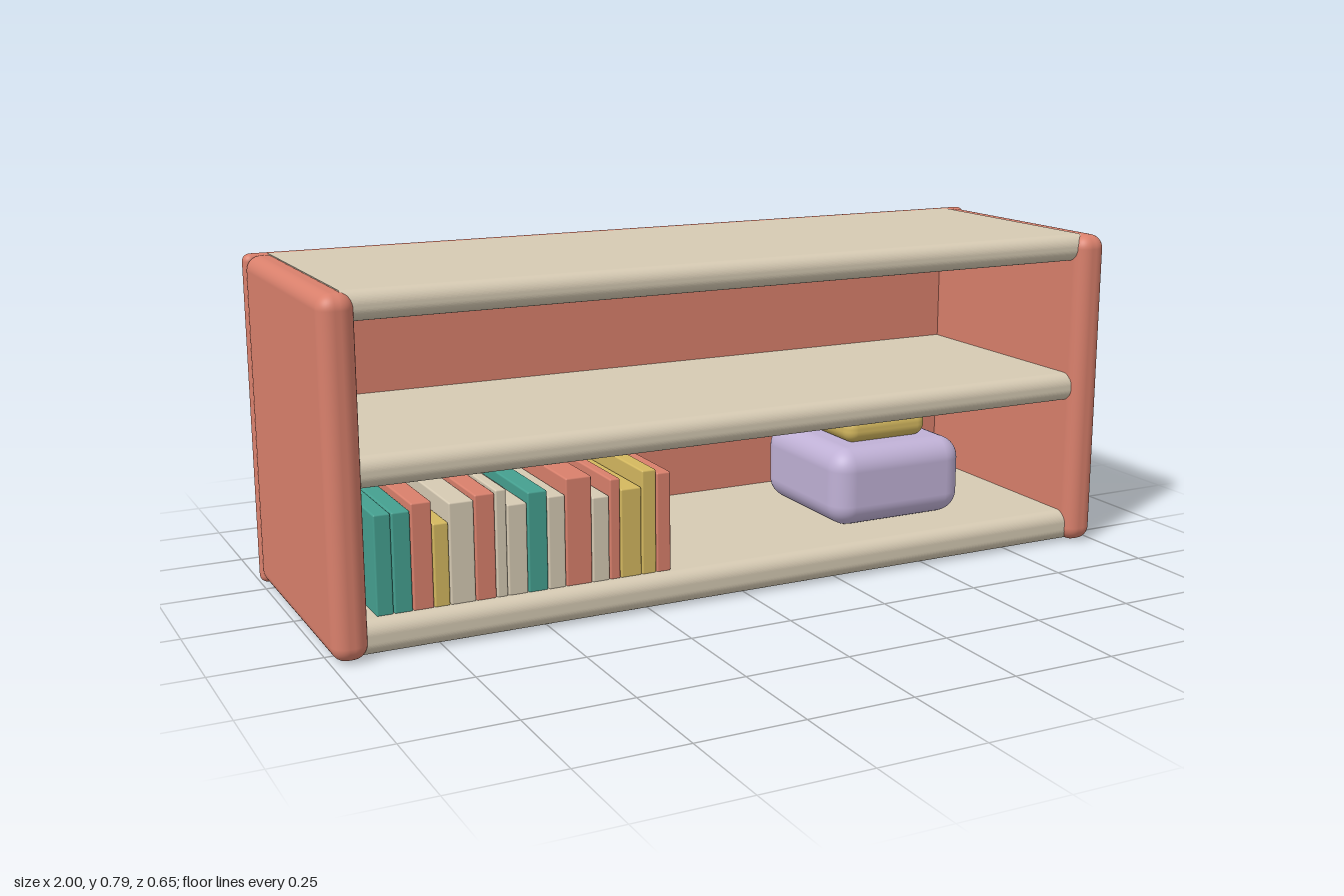
import * as THREE from 'three';
import { RoundedBoxGeometry } from 'three/addons/geometries/RoundedBoxGeometry.js';

const paint = (name, color) => {
  const m = new THREE.MeshStandardMaterial({ color });
  m.name = name;
  return m;
};

export function createModel() {
  const coral = paint('coral', 0xd9806c);
  const cream = paint('cream', 0xd6cab3);
  const teal = paint('teal', 0x45a090);
  const mustard = paint('mustard', 0xd4b85f);
  const lavender = paint('lavender', 0xc0b1d6);

  const model = new THREE.Group();
  model.name = 'bookshelf';

  // Rounded block given by its extents along each axis
  const block = (parent, name, mat, [x0, x1], [y0, y1], [z0, z1], r, seg = 5) => {
    const geo = new RoundedBoxGeometry(x1 - x0, y1 - y0, z1 - z0, seg, r);
    const mesh = new THREE.Mesh(geo, mat);
    mesh.name = name;
    mesh.position.set((x0 + x1) / 2, (y0 + y1) / 2, (z0 + z1) / 2);
    parent.add(mesh);
    return mesh;
  };

  // Carcass: two side panels and a full-width back
  block(model, 'leftSide', coral, [0.917, 0.997], [0.002, 0.79], [-0.31, 0.325], 0.034);
  block(model, 'rightSide', coral, [-0.997, -0.917], [0.002, 0.79], [-0.31, 0.325], 0.034);
  block(model, 'backPanel', coral, [-1, 1], [0, 0.792], [-0.325, -0.287], 0.018);

  // Shelves with a rounded front edge, let into the sides and back
  const shelf = (name, y0, y1) => {
    const r = 0.03, z0 = -0.3, z1 = 0.305;
    const s = new THREE.Shape();
    s.moveTo(-z0, y0);
    s.lineTo(-z0, y1);
    s.lineTo(-z1 + r, y1);
    s.absarc(-z1 + r, y1 - r, r, Math.PI / 2, Math.PI, false);
    s.lineTo(-z1, y0 + r);
    s.absarc(-z1 + r, y0 + r, r, Math.PI, Math.PI * 1.5, false);
    s.closePath();
    const geo = new THREE.ExtrudeGeometry(s, { depth: 1.884, bevelEnabled: false, curveSegments: 8 });
    geo.translate(0, 0, -0.942);
    geo.rotateY(Math.PI / 2);
    const mesh = new THREE.Mesh(geo, cream);
    mesh.name = name;
    model.add(mesh);
  };
  shelf('bottomShelf', 0.003, 0.08);
  shelf('middleShelf', 0.37, 0.44);
  shelf('topShelf', 0.725, 0.791);

  // Row of books: [colour, width, top height]
  const books = new THREE.Group();
  books.name = 'books';
  model.add(books);
  let x = -0.888;
  [
    [teal, 0.04, 0.305], [teal, 0.043, 0.305], [coral, 0.048, 0.32], [mustard, 0.037, 0.268],
    [cream, 0.059, 0.31], [coral, 0.048, 0.32], [cream, 0.027, 0.325], [cream, 0.048, 0.288],
    [teal, 0.048, 0.31], [cream, 0.043, 0.294], [coral, 0.064, 0.33], [cream, 0.043, 0.278],
    [coral, 0.027, 0.315], [mustard, 0.053, 0.288], [mustard, 0.037, 0.325], [coral, 0.037, 0.315],
  ].forEach(([mat, w, top], i) => {
    block(books, `book${i + 1}`, mat, [x + 0.001, x + w - 0.001], [0.078, top], [-0.25, 0.27], 0.004, 2);
    x += w;
  });

  // Storage box with a small cushion-like lid on top
  block(model, 'storageBox', lavender, [0.31, 0.685], [0.08, 0.277], [-0.19, 0.19], 0.055);
  block(model, 'boxLid', mustard, [0.38, 0.616], [0.275, 0.342], [-0.12, 0.12], 0.03);

  return model;
}
